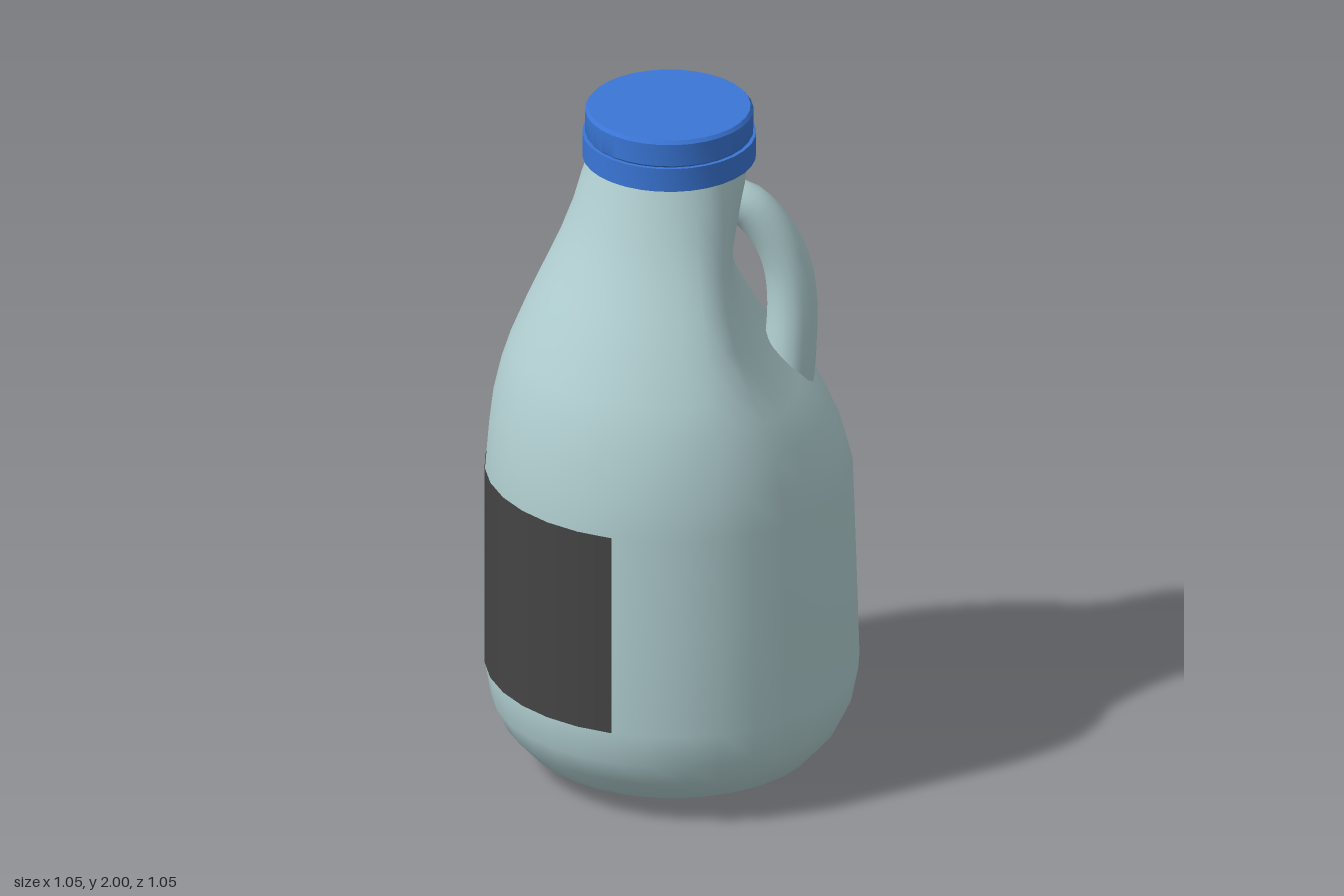
import * as THREE from 'three';
import { mergeVertices, toCreasedNormals } from 'three/addons/utils/BufferGeometryUtils.js';

const SIDES = 32;
const paint = (color) => new THREE.MeshStandardMaterial({ color });
const points = (list) => list.map(([x, y]) => new THREE.Vector2(x, y));

function addMesh(group, name, geometry, material) {
  const mesh = new THREE.Mesh(geometry, material);
  mesh.name = name;
  group.add(mesh);
  return mesh;
}

// Welds the seam and gives smooth normals
function smooth(geometry) {
  geometry.deleteAttribute('uv');
  geometry.deleteAttribute('normal');
  const welded = mergeVertices(geometry, 1e-5);
  welded.computeVertexNormals();
  return welded;
}

// Rows of the bottle: height, full radius, reach on the hollowed handle side
const ROWS = [
  [0, 0, 0], [0, 0.21, 0.21], [0.02, 0.33, 0.32], [0.06, 0.41, 0.405], [0.13, 0.475, 0.465],
  [0.2, 0.508, 0.5], [0.3, 0.525, 0.52], [0.6, 0.525, 0.511], [0.9, 0.525, 0.501],
  [1.0, 0.517, 0.475], [1.1, 0.505, 0.43], [1.2, 0.482, 0.355], [1.28, 0.456, 0.27],
  [1.4, 0.407, 0.2], [1.5, 0.362, 0.167], [1.6, 0.317, 0.163], [1.7, 0.28, 0.183],
  [1.78, 0.258, 0.2], [1.85, 0.236, 0.208], [1.9, 0.225, 0.205],
];

// Round bottle, with the +x side softly pressed in to make room for the hand
function bodyGeometry() {
  const geometry = new THREE.LatheGeometry(points(ROWS.map(([y, r]) => [r, y])), SIDES);
  const pos = geometry.attributes.position;
  const p = 1.5;
  for (let i = 0; i < pos.count; i++) {
    const [, r, reach] = ROWS[i % ROWS.length];
    const x = pos.getX(i);
    if (x <= 0 || r - reach < 1e-4) continue;
    const press = (r / reach) ** p - 1;
    pos.setX(i, x / (1 + press * (x / r) ** p) ** (1 / p));
  }
  return smooth(geometry);
}

// Curved grip, widening towards its lower end
function handleGeometry() {
  const path = new THREE.CatmullRomCurve3([
    [0.12, 1.715], [0.2, 1.692], [0.27, 1.615], [0.315, 1.515],
    [0.332, 1.4], [0.327, 1.25], [0.31, 1.08],
  ].map(([x, y]) => new THREE.Vector3(x, y, 0)));
  const steps = 24, around = 16;
  const geometry = new THREE.TubeGeometry(path, steps, 1, around);
  const pos = geometry.attributes.position;
  const v = new THREE.Vector3();
  for (let i = 0; i < pos.count; i++) {
    const t = Math.floor(i / (around + 1)) / steps;
    const centre = path.getPointAt(t);
    const thick = 0.06 + 0.017 * t;
    v.fromBufferAttribute(pos, i).sub(centre);
    v.set(v.x * thick, v.y * thick, v.z * (0.064 + 0.028 * t)).add(centre);
    pos.setXYZ(i, v.x, v.y, v.z);
  }
  return smooth(geometry);
}

export function createModel() {
  const jug = new THREE.Group();
  jug.name = 'jug';
  const plastic = paint(0xb2d0d2);

  addMesh(jug, 'body', bodyGeometry(), plastic);
  addMesh(jug, 'handle', handleGeometry(), plastic);

  // Label wrapped around the side opposite the handle
  const label = new THREE.CylinderGeometry(
    0.5265, 0.5265, 0.6, 12, 1, true, Math.PI * 1.125, Math.PI * 0.75);
  label.translate(0, 0.6, 0);
  const labelPaint = paint(0x444444);
  labelPaint.side = THREE.DoubleSide;
  addMesh(jug, 'label', label, labelPaint);

  // Screw cap above its wider tamper ring
  const blue = paint(0x3a76d6);
  const parts = {
    tamperRing: [[0.2, 1.85], [0.25, 1.85], [0.25, 1.92], [0.22, 1.92]],
    cap: [[0.235, 1.915], [0.242, 1.925], [0.242, 1.99], [0.234, 2], [0, 2]],
  };
  for (const [name, profile] of Object.entries(parts)) {
    const geometry = new THREE.LatheGeometry(points(profile), SIDES);
    geometry.scale(0.97, 1, 1);
    geometry.translate(-0.011, 0, 0);
    addMesh(jug, name, toCreasedNormals(geometry, 0.6), blue);
  }
  return jug;
}
